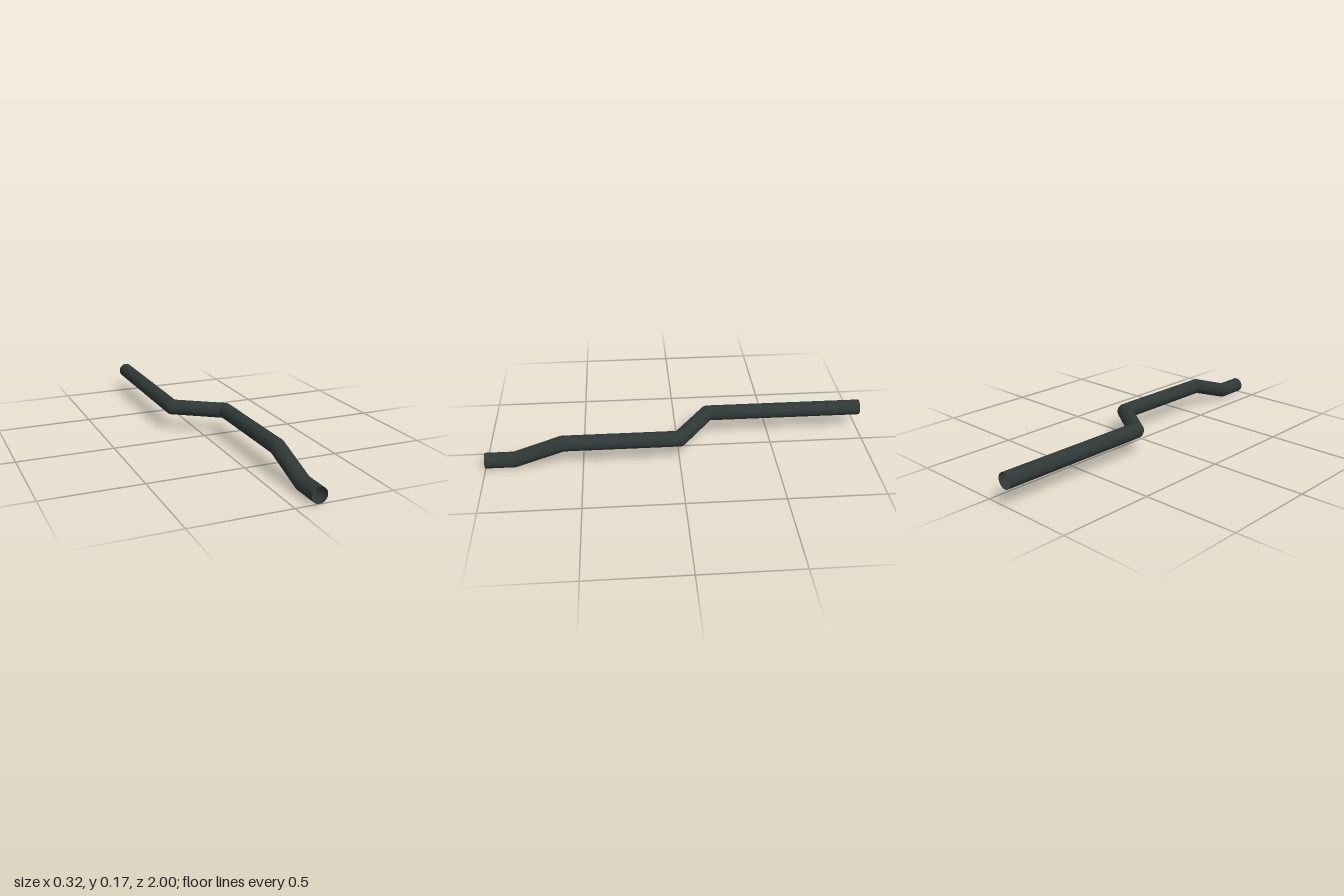
import * as THREE from 'three';

export function createModel() {
  const group = new THREE.Group();
  group.name = 'bentPipe';
  const darkSteel = new THREE.MeshStandardMaterial({ color: 0x2f3836, side: THREE.DoubleSide });
  darkSteel.name = 'darkSteel';

  const radius = 0.0405;
  const up = new THREE.Vector3(0, 1, 0);

  // Centre line from the front end to the back end
  const path = [
    [0.12, 0.0405, 1],
    [0.12, 0.0405, 0.85],
    [0.12, 0.126, 0.6],
    [0.12, 0.126, 0],
    [-0.12, 0.126, -0.168],
    [-0.12, 0.126, -1],
  ].map((p) => new THREE.Vector3(...p));

  const names = ['frontEnd', 'risingSection', 'frontPipe', 'offsetSection', 'rearPipe'];

  // Straight pipe sections, open at both ends
  names.forEach((name, i) => {
    const a = path[i];
    const b = path[i + 1];
    const dir = b.clone().sub(a);
    const pipe = new THREE.Mesh(
      new THREE.CylinderGeometry(radius, radius, dir.length(), 32, 1, true), darkSteel);
    pipe.name = name;
    pipe.position.copy(a).add(b).multiplyScalar(0.5);
    pipe.quaternion.setFromUnitVectors(up, dir.normalize());
    group.add(pipe);
  });

  // Rounded elbows at the bends
  path.slice(1, -1).forEach((p, i) => {
    const elbow = new THREE.Mesh(new THREE.SphereGeometry(radius, 32, 20), darkSteel);
    elbow.name = `elbow${i + 1}`;
    elbow.position.copy(p);
    group.add(elbow);
  });

  return group;
}
